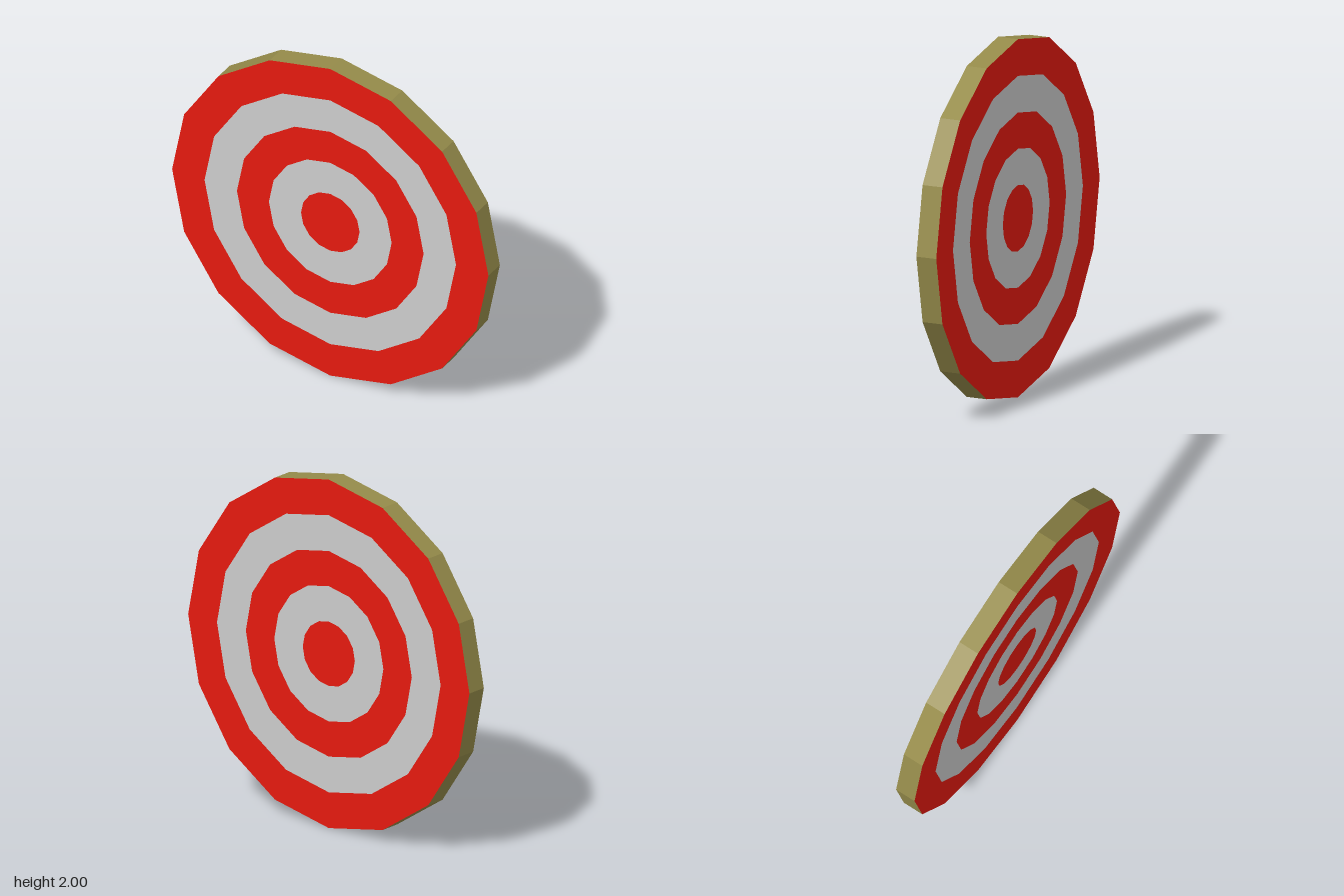
import * as THREE from 'three';

const SIDES = 16;
const HALF_DEPTH = 0.06;
const RADII = [0, 0.185, 0.388, 0.59, 0.795, 1]; // band edges from the bullseye outwards

export function createModel() {
  const group = new THREE.Group();
  group.name = 'target';

  const material = (color) => new THREE.MeshStandardMaterial({ color, flatShading: true });
  const red = material(0xe51a0f);
  const grey = material(0xcccccc);
  const olive = material(0x958b4a);

  // Rim: open sixteen-sided band around the disc
  const rimGeometry = new THREE.CylinderGeometry(1, 1, HALF_DEPTH * 2, SIDES, 1, true);
  rimGeometry.rotateX(Math.PI / 2);
  const rim = new THREE.Mesh(rimGeometry, olive);
  rim.name = 'rim';
  group.add(rim);

  // Front and back faces: bullseye and alternating rings
  for (const side of ['front', 'back']) {
    const face = new THREE.Group();
    face.name = `${side}Face`;
    for (let i = 0; i < RADII.length - 1; i++) {
      const geometry = i === 0
        ? new THREE.CircleGeometry(RADII[1], SIDES)
        : new THREE.RingGeometry(RADII[i], RADII[i + 1], SIDES, 1);
      const band = new THREE.Mesh(geometry, i % 2 ? grey : red);
      band.name = i === 0 ? 'bullseye' : `ring${i}`;
      band.position.z = HALF_DEPTH;
      face.add(band);
    }
    if (side === 'back') face.rotation.y = Math.PI;
    group.add(face);
  }

  group.position.y = 1; // stand on the ground
  return group;
}
